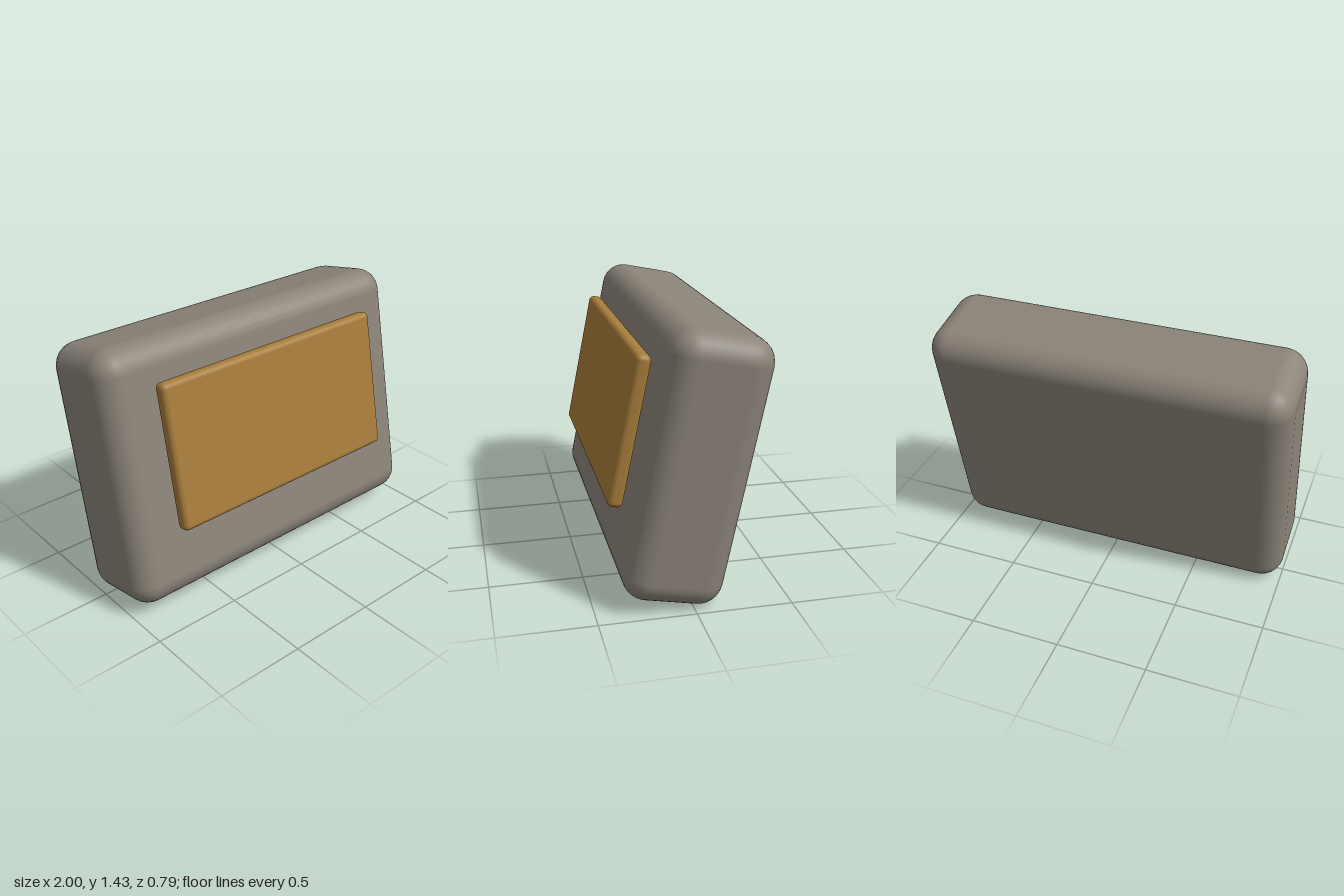
import * as THREE from 'three';
import { RoundedBoxGeometry } from 'three/addons/geometries/RoundedBoxGeometry.js';

const TILT = -0.2; // the whole object leans back

function roundedPart(name, [w, h, d], radius, [y, z], color) {
  const mesh = new THREE.Mesh(
    new RoundedBoxGeometry(w, h, d, 4, radius),
    new THREE.MeshStandardMaterial({ color })
  );
  mesh.name = name;
  mesh.position.set(0, y, z);
  mesh.rotation.x = TILT;
  return mesh;
}

export function createModel() {
  const group = new THREE.Group();
  group.name = 'tiltedScreen';

  // Thick soft-cornered casing
  group.add(roundedPart('casing', [2, 1.404, 0.528], 0.13, [0.717, -0.017], 0x8a8378));

  // Thin panel floating just in front of the casing
  group.add(roundedPart('frontPanel', [1.46, 0.8, 0.08], 0.03, [0.88, 0.282], 0xa67c3a));

  return group;
}
